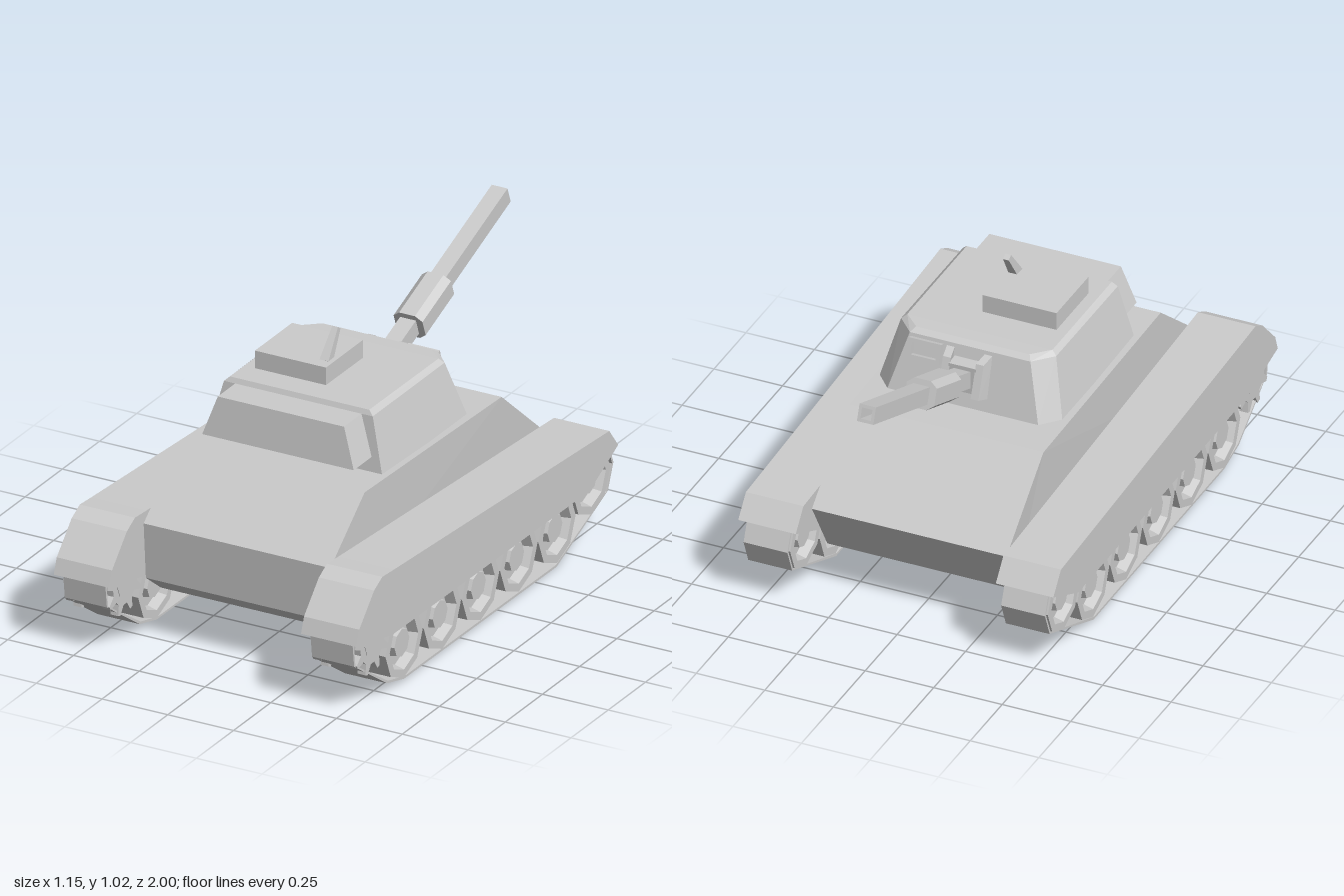
import * as THREE from 'three';
import { ConvexGeometry } from 'three/addons/geometries/ConvexGeometry.js';

const material = new THREE.MeshStandardMaterial({ color: 0xcccccc, flatShading: true, side: THREE.DoubleSide });

function add(parent, name, geometry, x = 0, y = 0, z = 0) {
  const mesh = new THREE.Mesh(geometry, material);
  mesh.name = name;
  mesh.position.set(x, y, z);
  parent.add(mesh);
  return mesh;
}

const toShape = (pts) => new THREE.Shape(pts.map(([a, b]) => new THREE.Vector2(a, b)));

// Extrude a [z, y] side profile across x, centred on x = 0
function sideExtrude(shape, width) {
  const g = new THREE.ExtrudeGeometry(shape, { depth: width, bevelEnabled: false });
  return g.rotateY(-Math.PI / 2).translate(width / 2, 0, 0);
}

// Convex solid from mirrored [x, y, z] points
function mirroredHull(pts) {
  return new ConvexGeometry(pts.flatMap(([x, y, z]) => [new THREE.Vector3(x, y, z), new THREE.Vector3(-x, y, z)]));
}

// Thin closed band between a profile and its scaled copy
function bandShape(pts, cz, cy, sz, sy) {
  const shape = toShape(pts);
  shape.holes.push(new THREE.Path(pts.map(([z, y]) => new THREE.Vector2(cz + (z - cz) * sz, cy + (y - cy) * sy))));
  return shape;
}

function createWheel(name) {
  // Half profile of the dished wheel, from the middle of the tread to the hub
  const half = [[0.125, 0.08], [0.096, 0.08], [0.086, 0.045], [0.055, 0.045], [0.05, 0.072], [0, 0.072]];
  const pts = [...half.map(([r, h]) => [r, -h]).reverse(), ...half].map(([r, h]) => new THREE.Vector2(r, h));
  const g = new THREE.LatheGeometry(pts, 8).rotateZ(Math.PI / 2);
  const wheel = new THREE.Group();
  wheel.name = name;
  add(wheel, 'wheelDisc', g);
  return wheel;
}

function createSprocket() {
  const sprocket = new THREE.Group();
  sprocket.name = 'driveSprocket';
  const teeth = 9;
  const star = [];
  for (let i = 0; i < teeth; i++) {
    for (const [t, r] of [[-0.3, 0.082], [-0.1, 0.118], [0.1, 0.118], [0.3, 0.082]]) {
      const a = ((i + t) / teeth) * Math.PI * 2;
      star.push([r * Math.sin(a), r * Math.cos(a)]);
    }
  }
  for (const x of [-0.07, 0.07]) add(sprocket, 'toothedRing', sideExtrude(toShape(star), 0.03), x);
  add(sprocket, 'sprocketHub', new THREE.CylinderGeometry(0.055, 0.055, 0.174, 8).rotateZ(Math.PI / 2));
  return sprocket;
}

// Running gear with its fender, centred on its own x = 0
function createTrackUnit() {
  const unit = new THREE.Group();
  const loop = [[0.98, 0.27], [0.97, 0.19], [0.75, 0.04], [0.635, 0.01], [-0.39, 0.002], [-0.735, 0.14],
    [-0.772, 0.23], [-0.74, 0.31], [-0.64, 0.345], [0.84, 0.38], [0.93, 0.34]];
  add(unit, 'track', sideExtrude(bandShape(loop, 0.1, 0.19, 0.99, 0.955), 0.16));

  for (let i = 0; i < 5; i++) {
    const wheel = createWheel('roadWheel');
    wheel.position.set(0, 0.14, 0.635 - i * 0.257);
    unit.add(wheel);
  }
  const idler = createWheel('idlerWheel');
  idler.position.set(0, 0.222, -0.625);
  unit.add(idler);
  const sprocket = createSprocket();
  sprocket.position.set(0, 0.24, 0.855);
  unit.add(sprocket);

  // Fender: a folded top plate between two skirts
  const top = [[1, 0.28], [0.98, 0.335], [0.88, 0.437], [0.825, 0.465], [0.75, 0.46], [-0.7, 0.378], [-0.76, 0.303]];
  const inner = [[-0.735, 0.303], [-0.69, 0.36], [0.75, 0.442], [0.82, 0.446], [0.87, 0.422], [0.963, 0.325], [0.98, 0.28]];
  add(unit, 'fenderTop', sideExtrude(toShape([...top, ...inner]), 0.2));
  const skirt = toShape([...top, [-0.565, 0.212], [0.76, 0.226]]);
  for (const x of [-0.099, 0.099]) add(unit, 'fenderSkirt', sideExtrude(skirt, 0.012), x);
  return unit;
}

function createHull(parent) {
  const profile = [[0.555, 0.613], [0.785, 0.43], [0.77, 0.225], [0.69, 0.16], [-0.56, 0.16], [-0.655, 0.345], [-0.365, 0.588]];
  const g = sideExtrude(toShape(profile), 0.71);
  // Draw the belly in slightly
  const p = g.attributes.position;
  for (let i = 0; i < p.count; i++) if (p.getY(i) < 0.2) p.setX(i, p.getX(i) * 0.966);
  add(parent, 'hull', g);
}

function createGun() {
  const gun = new THREE.Group();
  gun.name = 'gun';
  const square = (r) => [[-r, -r], [r, -r], [r, r], [-r, r]];
  // Square barrel with an open bore
  const barrel = toShape(square(0.03));
  barrel.holes.push(new THREE.Path(square(0.019).map(([a, b]) => new THREE.Vector2(a, b))));
  add(gun, 'barrel', new THREE.ExtrudeGeometry(barrel, { depth: 0.823, bevelEnabled: false }), 0, 0, -0.823);
  // Bevelled sleeve around the barrel
  const a = 0.055, b = 0.03, c = 0.05;
  const sleeve = toShape([[-b, -c], [b, -c], [a, -b], [a, b], [b, c], [-b, c], [-a, b], [-a, -b]]);
  add(gun, 'barrelSleeve', new THREE.ExtrudeGeometry(sleeve, { depth: 0.205, bevelEnabled: false }), 0, 0, -0.37);
  gun.position.set(0, 0.706, -0.22);
  gun.rotation.x = 0.361;
  return gun;
}

function createTurret() {
  const turret = new THREE.Group();
  turret.name = 'turret';
  add(turret, 'turretBody', mirroredHull([
    [0.333, 0.6, 0.397], [0.333, 0.6, -0.17], [0.275, 0.6, -0.235],
    [0.283, 0.8, 0.373], [0.283, 0.8, -0.11], [0.22, 0.8, -0.177],
    [0.265, 0.817, 0.365], [0.265, 0.815, -0.1], [0.207, 0.813, -0.155]]));
  add(turret, 'stowageBox', mirroredHull([
    [0.288, 0.66, 0.51], [0.24, 0.8, 0.49], [0.288, 0.66, 0.36], [0.24, 0.8, 0.36]]));
  add(turret, 'hatch', new THREE.BoxGeometry(0.27, 0.075, 0.25), -0.09, 0.843, 0.142);
  // Leaning tapered post on the hatch
  const post = add(turret, 'hatchPost', new THREE.CylinderGeometry(0.015, 0.024, 0.12, 4, 1).rotateY(Math.PI / 4), 0.012, 0.92, 0.173);
  post.rotation.x = -0.62;

  // Splayed cheeks either side of the gun
  const cheek = toShape([[-0.15, 0.795], [-0.23, 0.775], [-0.272, 0.662], [-0.2, 0.635]]);
  for (const s of [-1, 1]) {
    const m = add(turret, 'mantletCheek', sideExtrude(cheek, 0.028), s * 0.06);
    const p = m.geometry.attributes.position;
    for (let i = 0; i < p.count; i++) if (p.getZ(i) > -0.21) p.setX(i, p.getX(i) + s * 0.014);
  }
  add(turret, 'mantletBlock', new THREE.BoxGeometry(0.1, 0.1, 0.08), 0, 0.71, -0.2);

  // Framed sight opening beside the gun
  const frame = toShape([[-0.06, -0.035], [0.06, -0.035], [0.06, 0.035], [-0.06, 0.035]]);
  frame.holes.push(new THREE.Path([[-0.045, -0.022], [0.045, -0.022], [0.045, 0.022], [-0.045, 0.022]].map(([x, y]) => new THREE.Vector2(x, y))));
  const sight = add(turret, 'sightFrame', new THREE.ExtrudeGeometry(frame, { depth: 0.03, bevelEnabled: false }), 0.155, 0.76, -0.208);
  sight.rotation.x = 0.28;

  turret.add(createGun());
  return turret;
}

export function createModel() {
  const model = new THREE.Group();
  model.name = 'tank';
  createHull(model);
  model.add(createTurret());
  for (const s of [-1, 1]) {
    const unit = createTrackUnit();
    unit.name = s > 0 ? 'leftTrackUnit' : 'rightTrackUnit';
    unit.position.x = s * 0.47;
    model.add(unit);
  }
  return model;
}
